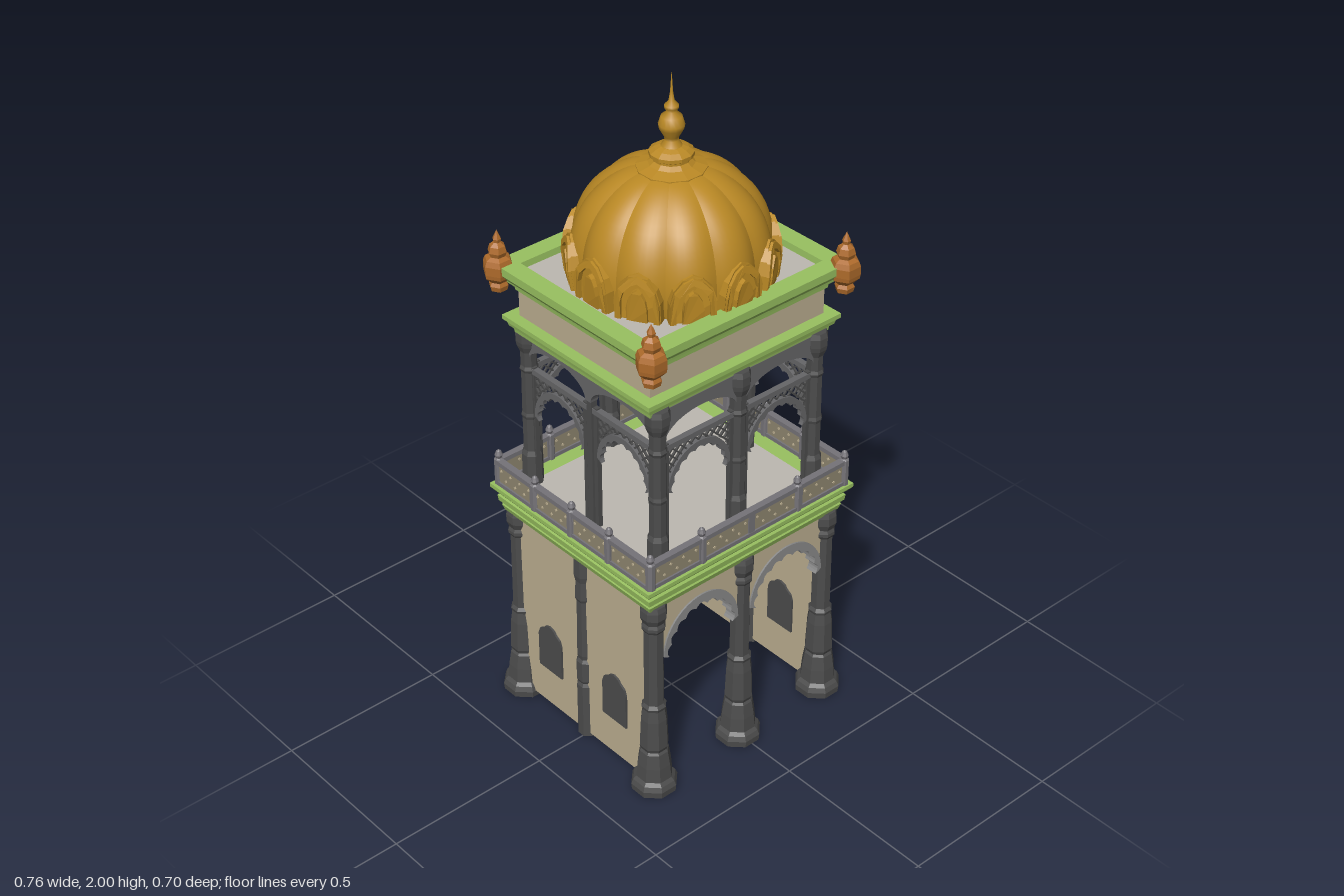
import * as THREE from 'three';
import { mergeGeometries } from 'three/addons/utils/BufferGeometryUtils.js';

const mat = (name, color) => Object.assign(new THREE.MeshStandardMaterial({ color }), { name });
const M = {
  gold: mat('gold', 0xb98824), bronze: mat('bronze', 0xad6a2a), green: mat('green', 0x98c060),
  tan: mat('tan', 0xbbae90), stone: mat('pale stone', 0xbcb8b0), dark: mat('dark iron', 0x4c4c4c),
  trim: mat('grey trim', 0x8a8a8a), rail: mat('rail grey', 0x757378), panel: mat('panel brown', 0x8f866f),
  arch: mat('arch grey', 0x666668),
};
const OFF = 0.021; // the plan is wider in x than in z by this on each side
const V = (p) => p.map(([x, y]) => new THREE.Vector2(x, y));

function add(parent, name, geo, material, x = 0, y = 0, z = 0) {
  const m = new THREE.Mesh(geo, material);
  m.name = name;
  m.position.set(x, y, z);
  parent.add(m);
  return m;
}
const box = (w, h, d) => new THREE.BoxGeometry(w, h, d);

function faceted(geo) {
  const g = geo.toNonIndexed();
  g.computeVertexNormals();
  return g;
}
const turned = (profile, sides) => faceted(new THREE.LatheGeometry(V(profile), sides, Math.PI / sides));

// rectangular moulding from a profile of [half size, y]
function moulding(profile) {
  const g = new THREE.LatheGeometry(V(profile.map(([h, y]) => [h * Math.SQRT2, y])), 4, Math.PI / 4);
  const p = g.attributes.position;
  for (let i = 0; i < p.count; i++) {
    const x = p.getX(i), z = p.getZ(i);
    if (Math.hypot(x, z) < 0.001) continue;
    p.setX(i, x + Math.sign(x) * OFF);
    p.setZ(i, z - Math.sign(z) * OFF);
  }
  return faceted(g);
}

function extrude(points, depth, hole) {
  const s = new THREE.Shape(V(points));
  if (hole) s.holes.push(new THREE.Path(V(hole)));
  return new THREE.ExtrudeGeometry(s, { depth, bevelEnabled: false }).translate(0, 0, -depth / 2);
}

// arch curve from left to right, with optional scallops
function archCurve(hw, y0, rise, lobes = 0, amp = 0) {
  const pts = [], n = lobes ? lobes * 6 : 24;
  for (let i = 0; i <= n; i++) {
    const a = Math.PI * (1 - i / n), k = 1 + amp * Math.abs(Math.sin(lobes * a));
    pts.push([hw * k * Math.cos(a), y0 + rise * k * Math.sin(a)]);
  }
  return pts;
}
const spandrel = (w, top, curve, depth) =>
  extrude([[-w, top], [-w, curve[0][1]], ...curve, [w, curve[0][1]], [w, top]], depth);
const band = (outer, inner, depth) => extrude([...outer, ...inner.slice().reverse()], depth);

// diagonal lattice bars filling the area above an arch
function lattice(hw, y0, rise, top) {
  const bars = [], step = 0.004;
  const inside = (x, y) => Math.abs(x) < hw && y > y0 && y < top && (x / hw) ** 2 + ((y - y0) / rise) ** 2 > 1;
  for (const d of [1, -1]) for (let c = -0.3; c < 0.3; c += 0.026) {
    let start = null;
    for (let x = -hw; x <= hw + step; x += step) {
      const hit = inside(x, y0 + c + d * x);
      if (hit && start === null) start = x;
      if (!hit && start !== null) {
        const mid = (start + x) / 2;
        bars.push(box((x - start) * Math.SQRT2, 0.005, 0.006).rotateZ(d * Math.PI / 4).translate(mid, y0 + c + d * mid, 0));
        start = null;
      }
    }
  }
  return mergeGeometries(bars);
}

function lowerBay() {
  const g = new THREE.Group();
  g.name = 'lowerArch';
  const outer = archCurve(0.136, 0.455, 0.145), inner = archCurve(0.115, 0.445, 0.118, 9, 0.09);
  add(g, 'spandrelWall', spandrel(0.15, 0.645, outer, 0.026), M.tan);
  add(g, 'scallopedTrim', band(outer, inner, 0.036), M.trim);
  return g;
}

function upperBay(w) {
  const g = new THREE.Group();
  g.name = 'upperArch';
  add(g, 'topArch', spandrel(w + 0.012, 1.235, archCurve(w, 1.135, 0.062), 0.026), M.arch);
  add(g, 'beam', box(2 * w, 0.016, 0.018), M.arch, 0, 1.108);
  const outer = archCurve(w - 0.015, 0.965, 0.115), inner = archCurve(w - 0.032, 0.955, 0.1, 9, 0.08);
  add(g, 'latticeArch', band(outer, inner, 0.014), M.arch);
  add(g, 'lattice', lattice(w - 0.012, 0.965, 0.115, 1.104), M.dark);
  for (const s of [-1, 1]) add(g, 'thinPost', box(0.014, 0.4, 0.014), M.dark, s * (w - 0.01), 0.92);
  return g;
}

// dome radius by height
const domeProfile = [[0.262, 1.41], [0.27, 1.46], [0.27, 1.51], [0.261, 1.56], [0.242, 1.61], [0.212, 1.655], [0.168, 1.695], [0.12, 1.722], [0.075, 1.733]];
function domeRadius(y) {
  const i = Math.max(1, domeProfile.findIndex((p) => p[1] >= y));
  const [a, b] = [domeProfile[i - 1], domeProfile[i]];
  return a[0] + (b[0] - a[0]) * (y - a[1]) / (b[1] - a[1]);
}

const petalShape = (w, y, h) => [[-w, y], [w, y], [w, y + h * 0.5], [w * 0.82, y + h * 0.74], [w * 0.42, y + h * 0.92], [0, y + h],
  [-w * 0.42, y + h * 0.92], [-w * 0.82, y + h * 0.74], [-w, y + h * 0.5]];
// petal plate bent to follow the dome
function petal(w, y, h, lift, hole) {
  const g = extrude(petalShape(w, y, h), 0.03, hole), p = g.attributes.position;
  for (let i = 0; i < p.count; i++) p.setZ(i, p.getZ(i) + domeRadius(p.getY(i)) - 0.015 + lift);
  g.computeVertexNormals();
  return g;
}

function dome() {
  const g = new THREE.Group();
  g.name = 'dome';
  const curve = new THREE.SplineCurve(V(domeProfile)).getPoints(20), w = Math.PI / 6;
  const lobe = new THREE.LatheGeometry(curve, 8, -w / 2, w), p = lobe.attributes.position;
  for (let i = 0; i < p.count; i++) {
    const t = Math.atan2(p.getX(i), p.getZ(i)) / (w / 2), k = 1 - 0.055 * t * t;
    p.setX(i, p.getX(i) * k);
    p.setZ(i, p.getZ(i) * k);
  }
  lobe.computeVertexNormals();
  const petals = mergeGeometries([petal(0.062, 1.41, 0.15, 0.006),
    petal(0.06, 1.411, 0.142, 0.013, petalShape(0.044, 1.42, 0.115)), petal(0.028, 1.411, 0.105, 0.013)]);
  for (let i = 0; i < 12; i++) {
    add(g, 'domeLobe', lobe, M.gold).rotation.y = i * w;
    add(g, 'domePetal', petals, M.gold).rotation.y = i * w;
  }
  add(g, 'domeCap', turned([[0.07, 1.715], [0.094, 1.722], [0.094, 1.732], [0.062, 1.742], [0.05, 1.752], [0.05, 1.758], [0.06, 1.764],
    [0.06, 1.774], [0.045, 1.784], [0.03, 1.79], [0, 1.792]], 12), M.gold);
  add(g, 'domeSpire', new THREE.LatheGeometry(V([[0.032, 1.785], [0.018, 1.805], [0.02, 1.815], [0.033, 1.838], [0.035, 1.85], [0.028, 1.872],
    [0.013, 1.885], [0.019, 1.895], [0.019, 1.902], [0.008, 1.915], [0.004, 1.94], [0, 2]]), 16), M.gold);
  return g;
}

export function createModel() {
  const model = new THREE.Group();
  model.name = 'domedPavilion';

  // lower storey
  const column = turned([[0, 0], [0.066, 0], [0.068, 0.02], [0.062, 0.035], [0.053, 0.045], [0.049, 0.09], [0.042, 0.135], [0.037, 0.142],
    [0.042, 0.155], [0.038, 0.25], [0.033, 0.285], [0.036, 0.295], [0.029, 0.305], [0.028, 0.555], [0.034, 0.565], [0.034, 0.575],
    [0.03, 0.585], [0.038, 0.605], [0.038, 0.63], [0.034, 0.645], [0, 0.645]], 8);
  const pilaster = turned([[0, 0.01], [0.031, 0.01], [0.031, 0.19], [0.026, 0.2], [0.031, 0.21], [0.031, 0.275], [0.025, 0.285], [0.028, 0.3],
    [0.026, 0.49], [0.03, 0.5], [0.028, 0.56], [0.032, 0.58], [0.032, 0.645], [0, 0.645]], 8);
  const windowShape = [[-0.05, 0.15], [0.05, 0.15], [0.05, 0.265], [0.043, 0.285], [0.026, 0.296], [0.018, 0.306], [0, 0.312],
    [-0.018, 0.306], [-0.026, 0.296], [-0.043, 0.285], [-0.05, 0.265]];
  for (const s of [-1, 1]) {
    for (const x of [-0.317, 0, 0.317]) add(model, 'lowerColumn', column, M.dark, x, 0, s * 0.285);
    for (const x of [-0.159, 0.159]) {
      const bay = lowerBay();
      bay.position.set(x, 0, s * 0.285);
      model.add(bay);
    }
    add(model, 'sideWall', box(0.03, 0.622, 0.56), M.tan, s * 0.317, 0.333, 0);
    add(model, 'sidePilaster', pilaster, M.dark, s * 0.317, 0, 0);
    for (const z of [-0.14, 0.14]) add(model, 'window', extrude(windowShape, 0.042), M.dark, s * 0.317, 0, z).rotation.y = Math.PI / 2;
  }
  add(model, 'lowerCornice', moulding([[0, 0.64], [0.328, 0.64], [0.334, 0.658], [0.33, 0.664], [0.34, 0.672], [0.342, 0.69], [0.337, 0.696],
    [0.352, 0.712], [0.356, 0.718], [0.356, 0.73], [0, 0.73]]), M.green);
  add(model, 'lowerCeiling', box(0.56, 0.006, 0.5), M.arch, 0, 0.638, 0);
  add(model, 'balconyFloor', box(0.6, 0.006, 0.52), M.stone, 0, 0.731, 0);

  // balcony railing
  const post = turned([[0, 0.73], [0.014, 0.73], [0.014, 0.812], [0.008, 0.816], [0.012, 0.826], [0.007, 0.838], [0, 0.843]], 8);
  const railing = (len, count) => {
    const g = new THREE.Group();
    g.name = 'railing';
    add(g, 'railPanel', box(len, 0.07, 0.01), M.panel, 0, 0.77, 0);
    add(g, 'railTop', box(len, 0.014, 0.02), M.rail, 0, 0.806, 0);
    add(g, 'railBottom', box(len, 0.012, 0.02), M.rail, 0, 0.737, 0);
    for (let i = 0; i <= count; i++) {
      const x = len * (i / count - 0.5);
      if (i > 0 && i < count) add(g, 'railDivider', box(0.022, 0.082, 0.018), M.rail, x, 0.771, 0);
      if (i < count) for (let k = 1; k < 8; k++)
        add(g, 'panelOrnament', box(0.007, 0.007, 0.014).rotateZ(Math.PI / 4), M.tan, x + len / count * k / 8, 0.77 + (k % 2 ? 0.012 : -0.012), 0);
    }
    return g;
  };
  for (const s of [-1, 1]) {
    const front = railing(0.71, 4), side = railing(0.634, 4);
    front.position.z = s * 0.317;
    side.position.x = s * 0.358;
    side.rotation.y = Math.PI / 2;
    model.add(front, side);
    for (const x of [-0.355, -0.175, 0.175, 0.355]) add(model, 'railPost', post, M.rail, x, 0, s * 0.317);
    for (const z of [-0.155, 0, 0.155]) add(model, 'railPost', post, M.rail, s * 0.358, 0, z);
  }

  // upper storey
  const upperColumn = turned([[0, 0.73], [0.03, 0.73], [0.03, 0.83], [0.024, 0.845], [0.024, 0.95], [0.027, 0.96], [0.024, 0.97], [0.023, 1.1],
    [0.027, 1.11], [0.023, 1.12], [0.024, 1.165], [0.032, 1.185], [0.035, 1.2], [0.035, 1.225], [0.03, 1.24], [0, 1.24]], 8);
  for (const s of [-1, 1]) {
    for (const x of [-0.28, 0, 0.28]) add(model, 'upperColumn', upperColumn, M.dark, x, 0, s * 0.262);
    add(model, 'slimColumn', box(0.02, 0.5, 0.02), M.dark, s * 0.28, 0.985, 0);
    for (const t of [-1, 1]) {
      const front = upperBay(0.125), side = upperBay(0.12);
      front.position.set(t * 0.14, 0, s * 0.262);
      side.position.set(s * 0.28, 0, t * 0.131);
      side.rotation.y = Math.PI / 2;
      model.add(front, side);
    }
  }
  add(model, 'middleCornice', moulding([[0, 1.23], [0.294, 1.23], [0.296, 1.245], [0.305, 1.25], [0.308, 1.262], [0.317, 1.27], [0.317, 1.283], [0, 1.283]]), M.green);
  add(model, 'upperCeiling', box(0.54, 0.006, 0.5), M.panel, 0, 1.229, 0);
  add(model, 'parapet', moulding([[0, 1.28], [0.284, 1.28], [0.284, 1.37], [0, 1.37]]), M.tan);
  add(model, 'roofCornice', moulding([[0, 1.362], [0.29, 1.362], [0.292, 1.378], [0.305, 1.384], [0.307, 1.396], [0.318, 1.402], [0.332, 1.42],
    [0.332, 1.443], [0.278, 1.443], [0.276, 1.42], [0, 1.42]]), M.green);
  add(model, 'roof', box(0.594, 0.006, 0.51), M.stone, 0, 1.421, 0);

  // corner finials
  const finial = turned([[0, 1.36], [0.024, 1.36], [0.028, 1.375], [0.022, 1.385], [0.04, 1.403], [0.042, 1.415], [0.042, 1.44], [0.036, 1.455],
    [0.022, 1.462], [0.027, 1.475], [0.022, 1.492], [0.01, 1.502], [0.012, 1.512], [0, 1.538]], 6);
  for (const x of [-0.337, 0.337]) for (const z of [-0.305, 0.305]) add(model, 'cornerFinial', finial, M.bronze, x, 0, z);

  model.add(dome());
  return model;
}
